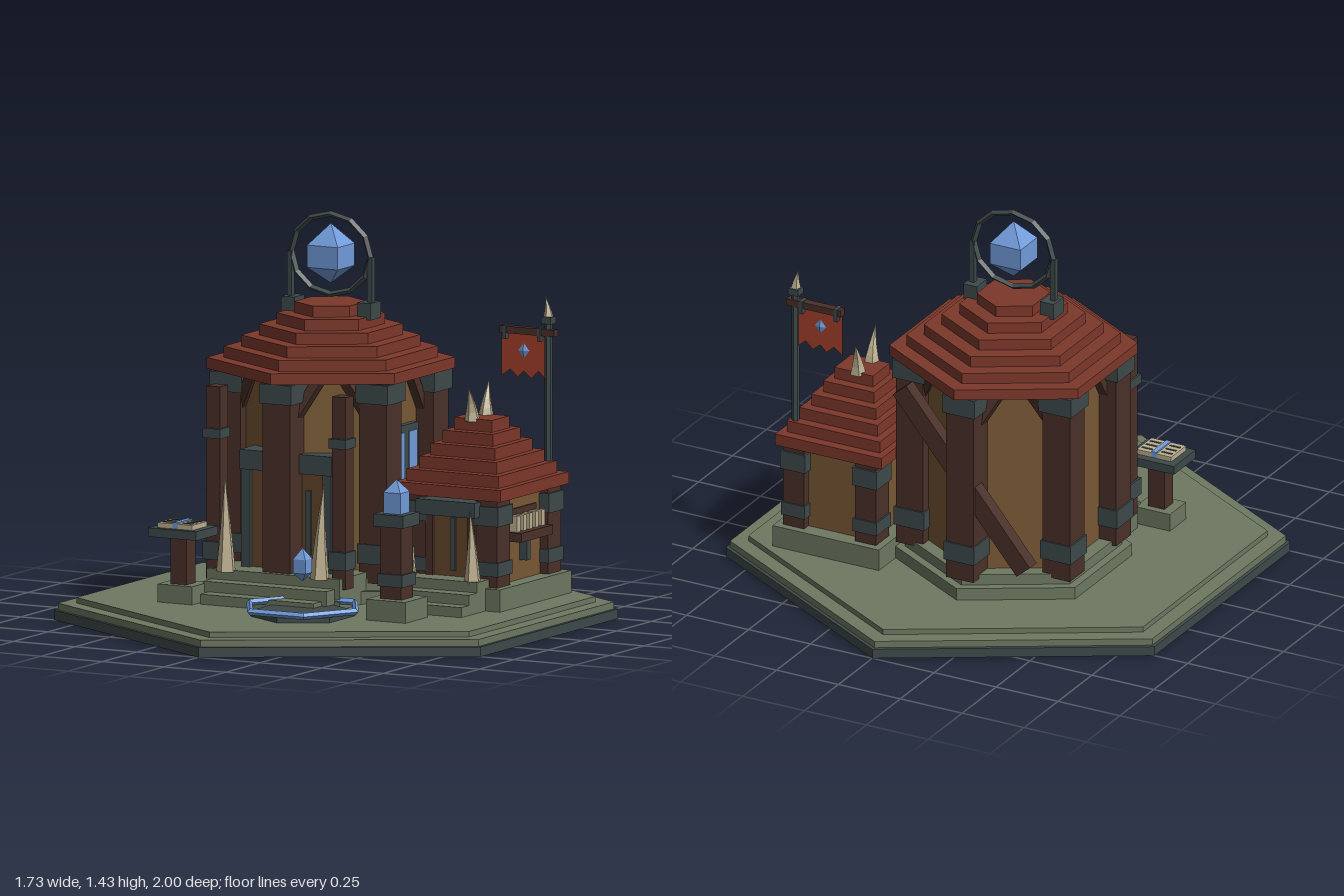
import * as THREE from 'three';

const mat = (name, color) => {
  const m = new THREE.MeshStandardMaterial({ color });
  m.name = name;
  return m;
};

export function createModel() {
  const slate = mat('slate', 0x3f4a4b), stone = mat('stone', 0x6e7861), roofRed = mat('roofRed', 0x7d382b);
  const wood = mat('darkWood', 0x4a3029), wall = mat('wallBoards', 0x785835), door = mat('doorWood', 0x63462b);
  const bone = mat('bone', 0xbdb08f), blue = mat('crystalBlue', 0x729cdb), flagRed = mat('bannerRed', 0xa5402b);
  flagRed.side = THREE.DoubleSide;

  const model = new THREE.Group();
  const group = (name, x = 0, y = 0, z = 0) => {
    const g = new THREE.Group();
    g.name = name;
    g.position.set(x, y, z);
    model.add(g);
    return g;
  };
  const add = (parent, name, geo, m, x = 0, y = 0, z = 0) => {
    // faceted normals everywhere
    const flat = geo.index ? geo.toNonIndexed() : geo;
    flat.computeVertexNormals();
    const mesh = new THREE.Mesh(flat, m);
    mesh.name = name;
    mesh.position.set(x, y, z);
    parent.add(mesh);
    return mesh;
  };
  // box given by centre x/z, bottom and top
  const box = (p, name, m, x, z, w, d, y0, y1) =>
    add(p, name, new THREE.BoxGeometry(w, y1 - y0, d), m, x, (y0 + y1) / 2, z);
  const hex = (p, name, m, r, y0, y1, x = 0, z = 0) =>
    add(p, name, new THREE.CylinderGeometry(r, r, y1 - y0, 6), m, x, (y0 + y1) / 2, z);
  // square crystal from half-width/height pairs
  const gem = (p, name, x, z, profile) => {
    const pts = profile.map(([r, y]) => new THREE.Vector2(r * Math.SQRT2, y));
    return add(p, name, new THREE.LatheGeometry(pts, 4).rotateY(Math.PI / 4), blue, x, 0, z);
  };
  // curved tapering horn
  const tusk = (p, name, x, y, z, r, h, leanX, leanZ) => {
    const geo = new THREE.ConeGeometry(r, h, 5, 4).translate(0, h / 2, 0);
    const a = geo.attributes.position;
    for (let i = 0; i < a.count; i++) {
      const t = a.getY(i) / h;
      a.setX(i, a.getX(i) + leanX * t * t);
      a.setZ(i, a.getZ(i) + leanZ * t * t);
    }
    return add(p, name, geo, bone, x, y, z);
  };
  // straight beam between two points
  const beam = (p, name, m, a, b, w, d) => {
    const A = new THREE.Vector3(...a), B = new THREE.Vector3(...b);
    const mesh = add(p, name, new THREE.BoxGeometry(w, A.distanceTo(B), d), m);
    mesh.position.copy(A).lerp(B, 0.5);
    mesh.quaternion.setFromUnitVectors(new THREE.Vector3(0, 1, 0), B.sub(A).normalize());
    return mesh;
  };

  // Ground
  const ground = group('ground');
  hex(ground, 'groundRim', slate, 1, 0, 0.035);
  hex(ground, 'groundSlab', stone, 0.985, 0.035, 0.06);
  hex(ground, 'groundTop', stone, 0.92, 0.06, 0.08);

  // Tower
  const tower = group('tower', -0.11, 0, -0.16);
  hex(tower, 'plinth', stone, 0.42, 0.08, 0.125);
  hex(tower, 'upperPlinth', stone, 0.385, 0.125, 0.165);
  hex(tower, 'towerWall', wall, 0.325, 0.165, 0.855);
  const corners = [];
  for (let i = 0; i < 6; i++) {
    const t = i * Math.PI / 3, x = 0.342 * Math.sin(t), z = 0.342 * Math.cos(t);
    corners.push([x, z]);
    box(tower, 'cornerPost', wood, x, z, 0.11, 0.11, 0.15, 0.87);
    box(tower, 'postCap', slate, x, z, 0.13, 0.13, 0.795, 0.865);
    if (i) box(tower, 'postBand', slate, x, z, 0.122, 0.122, 0.22, 0.29);
  }
  // knee braces beneath the eaves
  corners.forEach(([x, z], i) => {
    for (const j of [(i + 1) % 6, (i + 5) % 6]) {
      const [u, v] = corners[j], at = k => [x + (u - x) * k, z + (v - z) * k];
      const [ax, az] = at(0.12), [bx, bz] = at(0.36);
      beam(tower, 'kneeBrace', wood, [ax, 0.74, az], [bx, 0.87, bz], 0.035, 0.035);
    }
  });
  [0.44, 0.38, 0.318, 0.255, 0.192, 0.13].forEach((r, i) =>
    hex(tower, 'roofTier', roofRed, r, 0.87 + i * 0.04, 0.91 + i * 0.04));
  beam(tower, 'backBrace', wood, [0.25, 0.83, -0.36], [-0.25, 0.23, -0.36], 0.07, 0.05);

  // Tower entrance with side posts and horns
  box(tower, 'doorLeaf', door, 0, 0.255, 0.31, 0.11, 0.16, 0.56);
  box(tower, 'lintel', slate, 0, 0.26, 0.375, 0.14, 0.54, 0.61);
  [0.42, 0.48, 0.54].forEach((z, i) =>
    box(tower, 'entranceStep', stone, 0, (z + 0.2) / 2, 0.54 - i * 0.04, z - 0.2, 0.08, 0.19 - i * 0.037));
  for (const s of [-1, 1]) {
    box(tower, 'doorJamb', slate, s * 0.165, 0.26, 0.035, 0.13, 0.16, 0.56);
    box(tower, 'doorStrap', slate, s * 0.085, 0.313, 0.02, 0.009, 0.25, 0.48);
    box(tower, 'sidePost', wood, s * 0.255, 0.37, 0.055, 0.06, 0.15, 0.84);
    for (const [y0, y1] of [[0.655, 0.69], [0.22, 0.285]])
      box(tower, 'sidePostBand', slate, s * 0.255, 0.375, 0.07, 0.075, y0, y1);
    tusk(tower, 'entranceHorn', s * 0.19, 0.185, 0.42, 0.036, 0.35, s * 0.012, -0.01);
  }

  // Tower side window
  box(tower, 'windowFrame', slate, 0.29, 0, 0.03, 0.18, 0.42, 0.69);
  for (const z of [-0.045, 0.045]) box(tower, 'windowPane', blue, 0.306, z, 0.008, 0.055, 0.45, 0.665);

  // Crown ring and crystal
  const crown = group('crown', -0.11, 0, -0.16);
  const ring = add(crown, 'ring', new THREE.TorusGeometry(0.16, 0.012, 4, 12), slate, 0, 1.28, 0);
  ring.scale.y = 0.9;
  for (const s of [-1, 1]) {
    box(crown, 'ringSupport', slate, s * 0.163, 0, 0.02, 0.022, 1.1, 1.28);
    box(crown, 'ringFoot', slate, s * 0.155, 0, 0.055, 0.075, 1.06, 1.12);
  }
  gem(crown, 'largeCrystal', 0, 0, [[0, 1.175], [0.062, 1.235], [0.062, 1.315], [0, 1.39]]);

  // Annex
  const annex = group('annex', 0.465, 0, -0.235);
  box(annex, 'annexPlinth', stone, 0, 0, 0.43, 0.52, 0.08, 0.16);
  box(annex, 'annexWall', wall, 0, 0, 0.31, 0.4, 0.16, 0.47);
  for (const x of [-0.145, 0.145]) for (const z of [-0.185, 0.185]) {
    box(annex, 'annexPost', wood, x, z, 0.085, 0.095, 0.155, 0.475);
    box(annex, 'annexPostCap', slate, x, z, 0.1, 0.11, 0.38, 0.45);
    box(annex, 'annexPostBand', slate, x, z, 0.096, 0.106, 0.2, 0.25);
  }
  const tiers = [[0.43, 0.5], [0.375, 0.425], [0.315, 0.35], [0.26, 0.275], [0.205, 0.2], [0.155, 0.125]];
  tiers.forEach(([w, d], i) =>
    box(annex, 'annexRoofTier', roofRed, -0.005, 0, w, d, 0.472 + i * 0.043, 0.515 + i * 0.043));
  tusk(annex, 'roofHornFront', -0.015, 0.72, 0.05, 0.03, 0.13, 0.01, 0.05);
  tusk(annex, 'roofHornBack', -0.015, 0.72, -0.05, 0.03, 0.13, -0.01, -0.04);

  // Annex door, steps and horns
  box(annex, 'annexDoor', door, 0, 0.21, 0.16, 0.04, 0.16, 0.41);
  box(annex, 'annexLintel', slate, 0, 0.235, 0.24, 0.08, 0.41, 0.465);
  box(annex, 'annexDoorStrap', slate, 0.01, 0.233, 0.018, 0.008, 0.21, 0.4);
  [0.32, 0.38, 0.435].forEach((z, i) =>
    box(annex, 'annexStep', stone, -0.01, (z + 0.2) / 2, 0.33, z - 0.2, 0.08, 0.19 - i * 0.037));
  for (const s of [-1, 1]) {
    box(annex, 'annexJamb', wood, s * 0.085, 0.215, 0.03, 0.05, 0.16, 0.41);
    tusk(annex, 'annexHorn', -0.01 + s * 0.13, 0.18, 0.29, 0.032, 0.26, -s * 0.01, 0);
  }

  // Annex side window with bone bars
  box(annex, 'barWindow', wood, 0.155, 0, 0.012, 0.2, 0.33, 0.42);
  box(annex, 'windowSill', wood, 0.185, 0, 0.07, 0.23, 0.31, 0.343);
  for (let i = 0; i < 5; i++) box(annex, 'boneBar', bone, 0.18, -0.088 + i * 0.044, 0.03, 0.024, 0.343, 0.4);
  box(annex, 'sillBracket', slate, 0.17, 0, 0.03, 0.025, 0.23, 0.31);

  // Banner on its pole
  const banner = group('banner', 0.625, 0, -0.425);
  add(banner, 'pole', new THREE.CylinderGeometry(0.014, 0.014, 0.92, 6), slate, 0, 0.6, 0);
  box(banner, 'poleCollar', slate, 0, 0, 0.04, 0.04, 1.05, 1.075);
  tusk(banner, 'poleTip', 0, 1.07, 0, 0.02, 0.075, -0.012, 0);
  box(banner, 'crossbar', wood, -0.08, 0, 0.22, 0.03, 1.005, 1.03);
  for (const x of [-0.17, -0.03]) box(banner, 'bannerLoop', slate, x, 0, 0.014, 0.038, 0.985, 1.033);
  const cloth = new THREE.Shape([[-0.19, 1.01], [-0.19, 0.85], [-0.155, 0.875], [-0.125, 0.848], [-0.1, 0.872],
    [-0.07, 0.848], [-0.04, 0.875], [-0.012, 0.85], [-0.012, 1.01]].map(q => new THREE.Vector2(...q)));
  add(banner, 'cloth', new THREE.ShapeGeometry(cloth), flagRed);
  const badge = add(banner, 'bannerDiamond', new THREE.OctahedronGeometry(0.027), blue, -0.1, 0.945, 0);
  badge.scale.set(0.85, 1, 0.3);

  // Lantern post
  const lantern = group('lantern', 0.43, 0, 0.33);
  box(lantern, 'lanternBase', stone, 0, 0, 0.16, 0.16, 0.08, 0.155);
  box(lantern, 'lanternPost', wood, 0, 0, 0.085, 0.085, 0.155, 0.42);
  box(lantern, 'lanternBand', slate, 0, 0, 0.1, 0.1, 0.2, 0.245);
  box(lantern, 'lanternCap', slate, 0, 0, 0.12, 0.12, 0.415, 0.46);
  gem(lantern, 'lanternCrystal', 0, 0, [[0, 0.45], [0.034, 0.46], [0.034, 0.535], [0, 0.58]]);

  // Book table
  const table = group('bookTable', -0.425, 0, 0.35);
  box(table, 'tableBase', stone, 0, 0, 0.14, 0.12, 0.08, 0.145);
  box(table, 'tableLeg', wood, 0, 0, 0.065, 0.065, 0.145, 0.32);
  box(table, 'tableTop', slate, 0, 0, 0.195, 0.16, 0.315, 0.347);
  for (const s of [-1, 1]) {
    box(table, 'bookPage', bone, s * 0.04, 0.005, 0.06, 0.11, 0.347, 0.365);
    for (let i = 0; i < 3; i++)
      box(table, 'pageLine', slate, s * 0.04, -0.025 + i * 0.03, 0.042, 0.009, 0.365, 0.367);
  }
  box(table, 'bookRibbon', blue, 0, 0.005, 0.02, 0.11, 0.347, 0.37);

  // Crystal pool
  const pool = group('crystalPool', 0.11, 0, 0.44);
  hex(pool, 'poolDisc', slate, 0.185, 0.08, 0.1);
  add(pool, 'poolRing', new THREE.TorusGeometry(0.216, 0.012, 4, 6).rotateX(Math.PI / 2), blue, 0, 0.112, 0);
  gem(pool, 'floatingCrystal', 0, 0, [[0, 0.205], [0.025, 0.235], [0.025, 0.285], [0, 0.325]]);

  return model;
}
